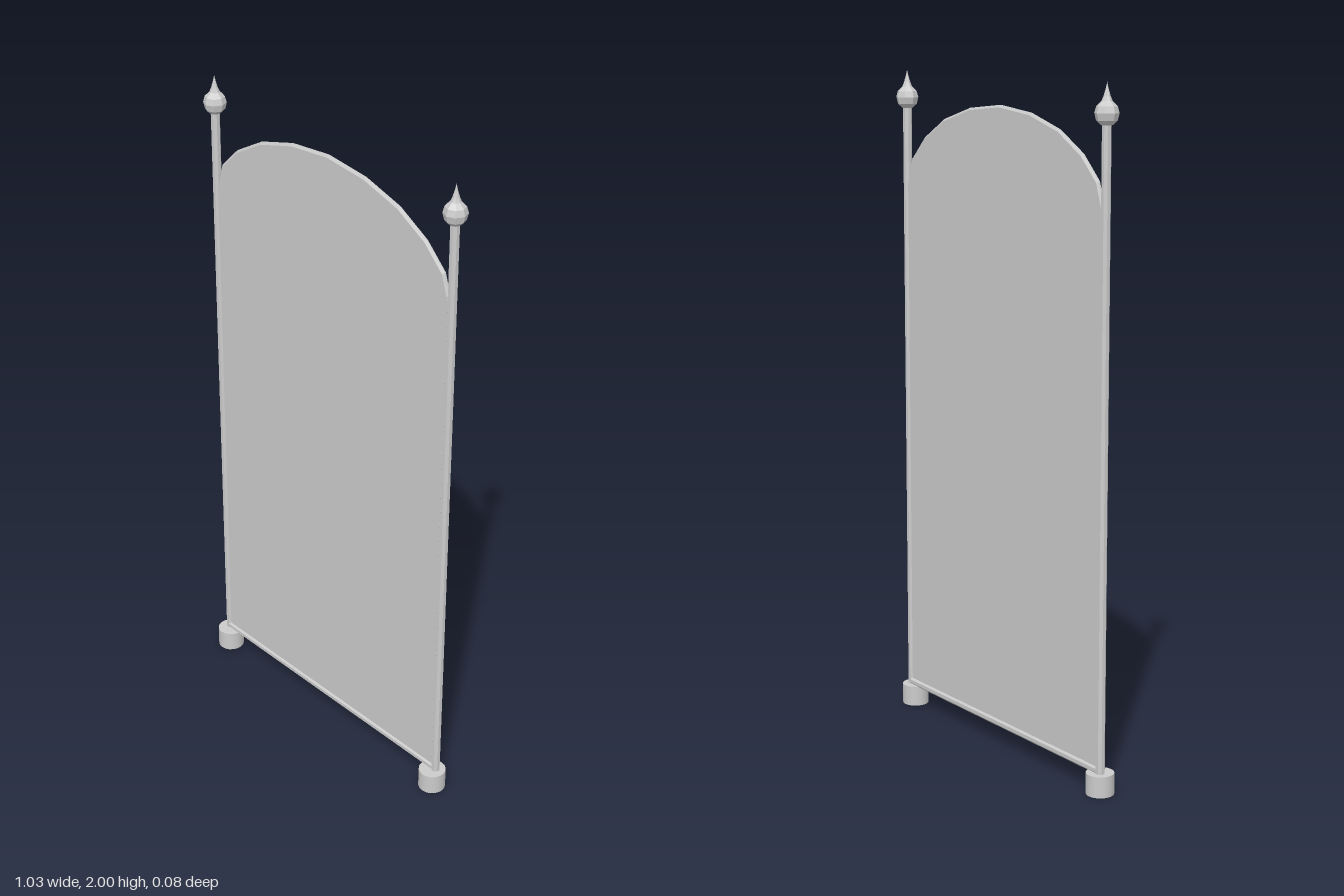
import * as THREE from 'three';

const grey = new THREE.MeshStandardMaterial({ color: 0xcccccc });
const facetedGrey = new THREE.MeshStandardMaterial({ color: 0xcccccc, flatShading: true });
const Z = -0.006; // centre plane of frame and panel
const POST_X = 0.483;

function add(group, name, geometry, material, x, y, z) {
  const mesh = new THREE.Mesh(geometry, material);
  mesh.name = name;
  mesh.position.set(x, y, z);
  group.add(mesh);
  return mesh;
}

// Arched panel with a narrow chamfer round its edge
function panelGeometry() {
  const bevel = 0.007;
  const rightArch = [[0.479, 1.66], [0.454, 1.735], [0.385, 1.803], [0.28, 1.863], [0.147, 1.902]];
  const outline = [[-0.479, 0.072], [0.479, 0.072], ...rightArch, [0, 1.917],
    ...rightArch.map(([x, y]) => [-x, y]).reverse()];
  const shape = new THREE.Shape(outline.map(([x, y]) => new THREE.Vector2(x, y)));
  const geometry = new THREE.ExtrudeGeometry(shape, {
    depth: 0.004, bevelEnabled: true, bevelThickness: 0.005,
    bevelSize: bevel, bevelOffset: -bevel, bevelSegments: 1,
  });
  return geometry.translate(0, 0, -0.002);
}

// Bulb and spike turned from one profile
function finialGeometry() {
  const profile = [[0, 1.884], [0.016, 1.886], [0.029, 1.898], [0.034, 1.918],
    [0.029, 1.936], [0.015, 1.95], [0.010, 1.962], [0.004, 1.982], [0, 2]];
  return new THREE.LatheGeometry(profile.map(([r, y]) => new THREE.Vector2(r, y)), 8);
}

export function createModel() {
  const model = new THREE.Group();
  model.name = 'archedPanel';

  add(model, 'panel', panelGeometry(), facetedGrey, 0, 0, Z);

  // Bottom rail between the posts
  const rail = new THREE.CylinderGeometry(0.0135, 0.0135, POST_X * 2, 8);
  rail.rotateY(Math.PI / 8).rotateZ(Math.PI / 2);
  add(model, 'bottomRail', rail, facetedGrey, 0, 0.072, Z);

  // Post, finial and foot on each side
  for (const [side, name] of [[1, 'left'], [-1, 'right']]) {
    const post = new THREE.CylinderGeometry(0.0135, 0.0135, 1.835, 8);
    post.rotateY(Math.PI / 8);
    add(model, name + 'Post', post, facetedGrey, side * POST_X, 0.06 + 1.835 / 2, Z);
    add(model, name + 'Finial', finialGeometry(), facetedGrey, side * POST_X, 0, Z);
    add(model, name + 'Foot', new THREE.CylinderGeometry(0.041, 0.041, 0.063, 18), grey,
      side * 0.475, 0.0315, 0);
  }
  return model;
}
